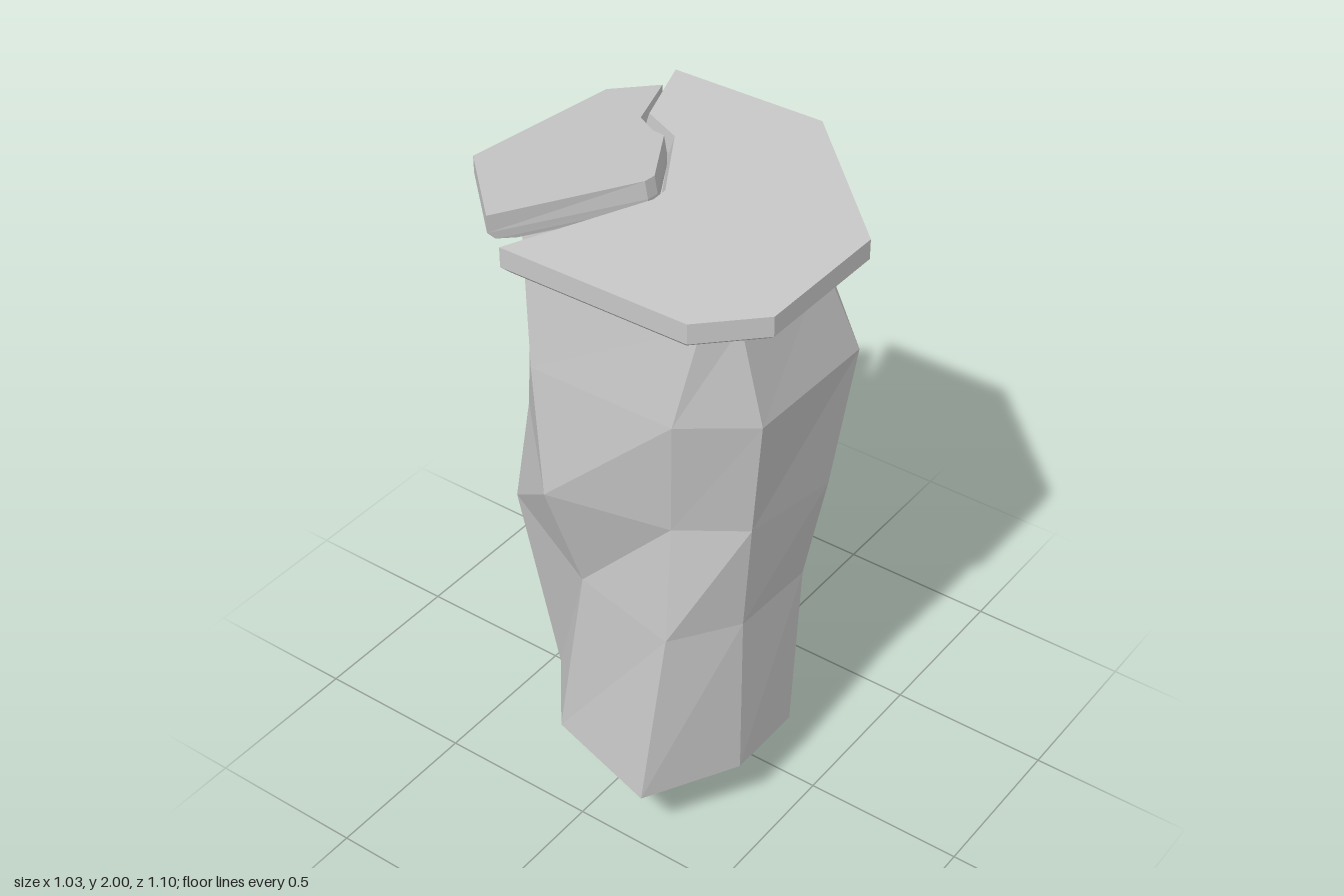
import * as THREE from 'three';

// Joins loops of points (bottom to top, counterclockwise from above) into a closed faceted solid.
function loft(loops, material, name) {
  const pos = [];
  const tri = (a, b, c) => pos.push(...a, ...b, ...c);
  const n = loops[0].length;
  for (let k = 0; k < loops.length - 1; k++) {
    const lo = loops[k], hi = loops[k + 1];
    for (let i = 0; i < n; i++) {
      const j = (i + 1) % n;
      if (lo[i] !== lo[j]) tri(lo[i], lo[j], hi[j]);
      tri(lo[i], hi[j], hi[i]);
    }
  }
  const cap = (loop, up) => {
    const flat = loop.map(([x, , z]) => new THREE.Vector2(x, -z));
    for (const [a, b, c] of THREE.ShapeUtils.triangulateShape(flat, [])) {
      if (up) tri(loop[a], loop[b], loop[c]);
      else tri(loop[a], loop[c], loop[b]);
    }
  };
  if (new Set(loops[0]).size === n) cap(loops[0], false);
  cap(loops[loops.length - 1], true);
  const geo = new THREE.BufferGeometry();
  geo.setAttribute('position', new THREE.Float32BufferAttribute(pos, 3));
  geo.computeVertexNormals();
  const mesh = new THREE.Mesh(geo, material);
  mesh.name = name;
  return mesh;
}

// Slab piece: straight rim over a two-step chamfer; crack points slide by `slide` in z instead.
// `steps` lists [drop below the top, inset scale] from the bottom up.
function slab(outer, crack, topY, steps, slide, material, name) {
  const points = [...outer, ...crack];
  const level = ([drop, inset]) => points.map(([x, z], i) => {
    const y = topY(x, z) - drop;
    return i < outer.length ? [x * inset, y, z * inset] : [x, y, z + (drop > 0 ? slide : 0)];
  });
  return loft([...steps, [0, 1]].map(level), material, name);
}

export function createModel() {
  const stone = new THREE.MeshStandardMaterial({ color: 0xc8c8c8, flatShading: true });
  stone.name = 'grey stone';
  const model = new THREE.Group();
  model.name = 'brokenStonePillar';

  // Column: twisted eight-sided rings tapering to a ridge underneath
  const keelFront = [-0.08, 0.03, 0.206], keelBack = [-0.115, 0, -0.153];
  const rings = [
    [[-0.51, 0.2, 0.23], [-0.23, 0.2, 0.386], [0.03, 0.2, 0.386], [0.305, 0.2, 0.143],
      [0.34, 0.18, -0.344], [0.015, 0.15, -0.36], [-0.13, 0.145, -0.37], [-0.37, 0.16, -0.178]],
    [[-0.44, 0.78, 0.27], [-0.25, 0.78, 0.4], [0.035, 0.78, 0.41], [0.413, 0.78, 0.138],
      [0.3, 0.77, -0.36], [0.1, 0.77, -0.4], [-0.148, 0.76, -0.5], [-0.363, 0.78, -0.083]],
    [[-0.4, 1.15, 0.26], [-0.275, 1.15, 0.44], [0.08, 1.1, 0.455], [0.357, 1.15, 0.12],
      [0.4, 1.14, -0.333], [0.15, 1.13, -0.513], [-0.159, 1.14, -0.427], [-0.48, 1.15, -0.115]],
    [[-0.45, 1.54, 0.3], [-0.31, 1.54, 0.49], [0.14, 1.54, 0.497], [0.445, 1.54, 0.095],
      [0.42, 1.52, -0.296], [0.18, 1.52, -0.5], [-0.15, 1.55, -0.41], [-0.45, 1.54, -0.167]],
    [[-0.405, 1.85, 0.36], [-0.335, 1.85, 0.434], [0.04, 1.85, 0.434], [0.405, 1.85, 0.08],
      [0.405, 1.83, -0.35], [0.31, 1.83, -0.42], [-0.16, 1.87, -0.42], [-0.41, 1.91, -0.21]],
  ];
  const keel = rings[0].map((_, i) => (i < 4 ? keelFront : keelBack));
  model.add(loft([keel, ...rings], stone, 'column'));

  // Large level half of the cracked capstone
  model.add(slab(
    [[-0.515, -0.2], [-0.515, 0.395], [-0.36, 0.55], [0.079, 0.55], [0.515, 0.112], [0.515, -0.392]],
    [[0.268, -0.302], [0.207, -0.17], [-0.038, -0.022], [-0.093, -0.02]],
    () => 1.94, [[0.1, 0.8], [0.085, 0.95], [0.06, 1]], -0.02, stone, 'frontCapSlab'));

  // Smaller half, tilted with its left end raised
  model.add(slab(
    [[0.498, -0.427], [0.385, -0.545], [-0.2, -0.55], [-0.49, -0.26]],
    [[-0.093, -0.048], [-0.05, -0.048], [0.19, -0.194], [0.204, -0.243], [0.262, -0.328]],
    (x, z) => 1.982 - 0.096 * x + 0.111 * z,
    [[0.088, 0.85], [0.075, 0.96], [0.052, 1]], 0.01, stone, 'backCapSlab'));

  return model;
}
